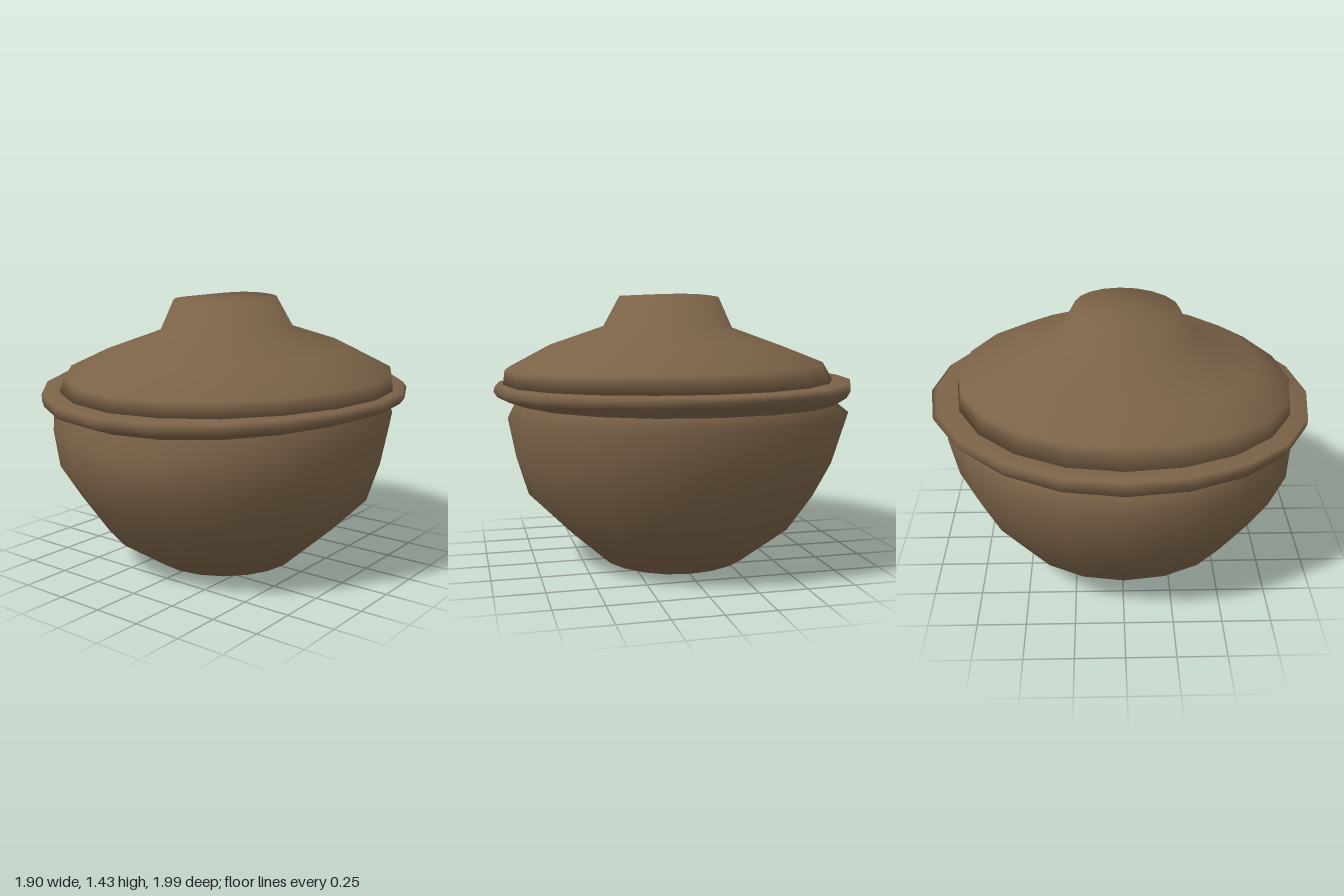
import * as THREE from 'three';

const SEGMENTS = 20;

// Each ring lists [radius, height] toward +x, +z, -x and -z, blended around the pot,
// so the pot keeps its uneven, hand-thrown shape.
function loft(name, rings, material, capBottom, capTop) {
  const positions = [], index = [];
  for (const ring of rings) {
    for (let i = 0; i < SEGMENTS; i++) {
      const a = (i / SEGMENTS) * Math.PI * 2;
      const c = Math.cos(a), s = Math.sin(a);
      const alongX = c > 0 ? ring[0] : ring[2];
      const alongZ = s > 0 ? ring[1] : ring[3];
      const r = alongX[0] * c * c + alongZ[0] * s * s;
      const y = alongX[1] * c * c + alongZ[1] * s * s;
      positions.push(r * c, y, r * s);
    }
  }
  for (let k = 0; k < rings.length - 1; k++) {
    for (let i = 0; i < SEGMENTS; i++) {
      const j = (i + 1) % SEGMENTS;
      const a = k * SEGMENTS + i, b = k * SEGMENTS + j;
      const c = a + SEGMENTS, d = b + SEGMENTS;
      index.push(a, c, b, b, c, d);
    }
  }
  // Flat ends share the wall vertices, which keeps their edges soft
  const cap = (k, up) => {
    const centre = positions.length / 3;
    const y = rings[k].reduce((sum, p) => sum + p[1], 0) / 4;
    positions.push(0, y, 0);
    for (let i = 0; i < SEGMENTS; i++) {
      const a = k * SEGMENTS + i, b = k * SEGMENTS + (i + 1) % SEGMENTS;
      if (up) index.push(centre, b, a);
      else index.push(centre, a, b);
    }
  };
  if (capBottom) cap(0, false);
  if (capTop) cap(rings.length - 1, true);

  const geometry = new THREE.BufferGeometry();
  geometry.setAttribute('position', new THREE.Float32BufferAttribute(positions, 3));
  geometry.setIndex(index);
  geometry.computeVertexNormals();
  const mesh = new THREE.Mesh(geometry, material);
  mesh.name = name;
  return mesh;
}

export function createModel() {
  const group = new THREE.Group();
  group.name = 'liddedPot';
  const clay = new THREE.MeshStandardMaterial({ color: 0x7a6247, side: THREE.DoubleSide });
  clay.name = 'brown clay';

  // Bowl: foot, belly and pinched neck
  group.add(loft('bowl', [
    [[0.39, 0.01], [0.40, 0.01], [0.41, 0.01], [0.38, 0.00]],
    [[0.60, 0.20], [0.63, 0.16], [0.67, 0.21], [0.62, 0.19]],
    [[0.78, 0.38], [0.79, 0.38], [0.79, 0.41], [0.77, 0.36]],
    [[0.84, 0.58], [0.91, 0.57], [0.87, 0.55], [0.89, 0.62]],
    [[0.88, 0.79], [0.91, 0.73], [0.95, 0.80], [0.93, 0.83]],
    [[0.84, 0.87], [0.87, 0.83], [0.87, 0.86], [0.90, 0.88]],
    [[0.84, 0.92], [0.87, 0.89], [0.86, 0.93], [0.88, 0.94]],
  ], clay, true, false));

  // Projecting rim around the mouth
  group.add(loft('rim', [
    [[0.84, 0.87], [0.87, 0.83], [0.87, 0.86], [0.90, 0.88]],
    [[0.93, 0.90], [0.98, 0.87], [0.94, 0.90], [0.96, 0.93]],
    [[0.95, 0.93], [0.99, 0.90], [0.95, 0.94], [1.00, 0.96]],
    [[0.94, 0.96], [0.99, 0.93], [0.95, 0.98], [0.97, 0.98]],
    [[0.85, 0.97], [0.88, 0.94], [0.84, 0.98], [0.83, 0.98]],
  ], clay, false, false));

  // Lid with its sloping shoulder and raised knob
  group.add(loft('lid', [
    [[0.90, 0.96], [0.90, 0.93], [0.87, 0.96], [0.86, 0.98]],
    [[0.89, 1.04], [0.89, 1.01], [0.80, 1.07], [0.85, 1.07]],
    [[0.66, 1.16], [0.71, 1.13], [0.59, 1.15], [0.60, 1.19]],
    [[0.37, 1.26], [0.38, 1.24], [0.32, 1.25], [0.33, 1.27]],
    [[0.28, 1.42], [0.30, 1.41], [0.25, 1.41], [0.24, 1.43]],
  ], clay, true, true));

  return group;
}
